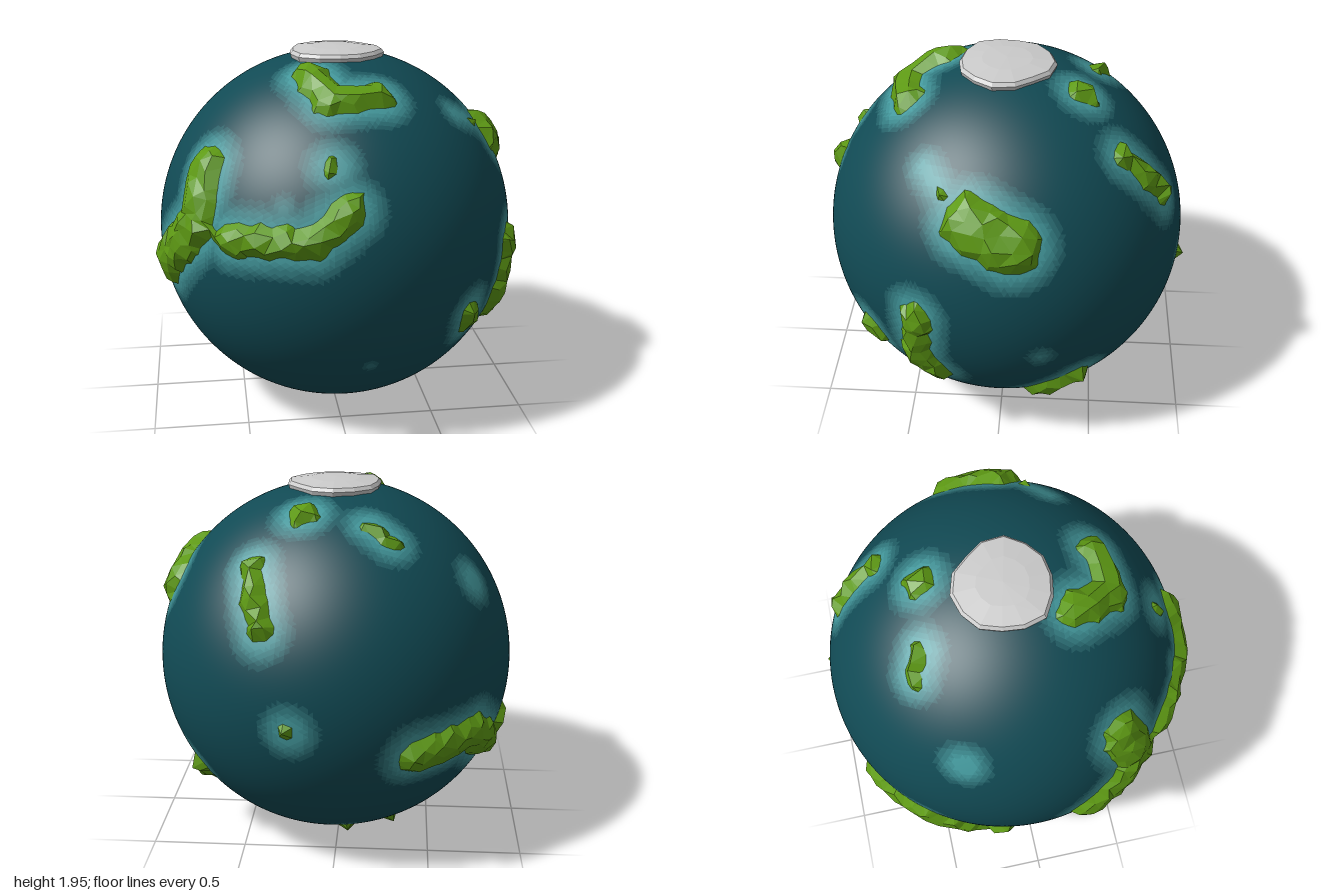
import * as THREE from 'three';

const R = 0.96;
const CENTRE = new THREE.Vector3(0.03, 0.97, 0);

// Facing directions [azimuth, elevation] in degrees used to place the coastlines
const FRONT = [0, 0], RIGHT = [90, 0], TOP = [0, 90], BACK_LEFT = [215, 28], UNDER = [145, -28];

// Point on the globe at (u, v) as seen from a facing direction
function onGlobe([az, el], u, v) {
  const w = Math.sqrt(Math.max(0, R * R - u * u - v * v));
  return new THREE.Vector3(u, v, w)
    .applyEuler(new THREE.Euler(THREE.MathUtils.degToRad(-el), THREE.MathUtils.degToRad(az), 0, 'YXZ'))
    .setLength(R);
}

// A strip of land along a path, kept as overlapping dots; a negative half width is a shoal
const dots = [];
function strip(facing, r, ...pts) {
  const ends = pts.map(([u, v]) => onGlobe(facing, u, v));
  ends.forEach((a, i) => {
    const b = ends[Math.min(i + 1, ends.length - 1)];
    for (let k = 0; k < 8; k++) dots.push({ p: a.clone().lerp(b, k / 8).setLength(R), r });
  });
}

// Northern triangle
strip(TOP, 0.09, [-0.17, -0.32], [-0.08, -0.53], [0.15, -0.5]);
// Large hooked continent and its offshore islet
strip(FRONT, 0.12, [-0.7, 0.46], [-0.76, 0.2], [-0.91, -0.08]);
strip(FRONT, 0.08, [-0.6, 0.18], [-0.22, 0.2], [-0.04, 0.35]);
strip(FRONT, 0.05, [-0.11, 0.54]);
strip(FRONT, -0.03, [-0.35, 0.35]);
// Lands on the right side
strip(RIGHT, 0.14, [-0.13, 0.52], [0.08, 0.43]);
strip(RIGHT, 0.01, [-0.36, 0.68], [-0.2, 0.56]);
strip(RIGHT, 0.08, [-0.4, 0], [-0.4, -0.33], [-0.32, -0.42]);
strip(RIGHT, 0.06, [-0.68, -0.28], [-0.63, -0.37]);
strip(RIGHT, 0.07, [0.42, -0.49], [0.2, -0.65]);
strip(RIGHT, 0.065, [0.6, 0.65], [0.82, 0.39]);
strip(RIGHT, -0.03, [0.23, -0.21]);
// Northern islands at the back
strip(TOP, 0.08, [0.14, 0.39]);
strip(TOP, 0.05, [-0.3, 0.5], [-0.2, 0.45]);
strip(TOP, 0.04, [-0.72, 0.35]);
// Southern continent and islets at the back
strip(BACK_LEFT, 0.1, [-0.1, -0.64], [0.27, -0.6], [0.47, -0.67]);
strip(BACK_LEFT, 0.05, [0.55, -0.62], [0.65, -0.55]);
strip(UNDER, 0.06, [0.32, -0.61]);
strip(UNDER, 0.05, [0.44, -0.7]);
strip(UNDER, 0.05, [0.4, 0.34]);
strip(FRONT, -0.07, [0.08, -0.5]);

// Signed distance inland (positive) or out to sea (negative)
function inland(p) {
  let best = -1;
  for (const d of dots) best = Math.max(best, d.r - d.p.distanceTo(p));
  return best;
}

// Repeatable noise, 0..1, tied to position
function noise(p, seed) {
  const q = Math.round(p.x * 1000) * 12.9898 + Math.round(p.y * 1000) * 78.233 + Math.round(p.z * 1000) * 37.719;
  const s = Math.sin(q + seed * 91.7) * 43758.5453;
  return s - Math.floor(s);
}

function geometryFrom(positions) {
  const g = new THREE.BufferGeometry();
  g.setAttribute('position', new THREE.Float32BufferAttribute(positions, 3));
  return g;
}

// Visit every triangle of a subdivided icosahedron
function eachFace(detail, visit) {
  const pos = new THREE.IcosahedronGeometry(R, detail).getAttribute('position');
  for (let i = 0; i < pos.count; i += 3) {
    visit([0, 1, 2].map(k => new THREE.Vector3().fromBufferAttribute(pos, i + k)));
  }
}

// Smooth sea split into depth bands, paler towards the shore
function createOcean() {
  const group = new THREE.Group();
  group.name = 'ocean';
  const BANDS = 7;
  const bands = Array.from({ length: BANDS }, () => []);
  eachFace(40, tri => {
    const mid = tri[0].clone().add(tri[1]).add(tri[2]).setLength(R);
    const t = THREE.MathUtils.clamp(1 + inland(mid) / 0.13, 0, 0.999);
    for (const v of tri) bands[Math.floor(t * BANDS)].push(v.x, v.y, v.z);
  });
  const deep = new THREE.Color(0x114a54), shallow = new THREE.Color(0x43989c);
  bands.forEach((positions, i) => {
    const g = geometryFrom(positions);
    g.setAttribute('normal', new THREE.Float32BufferAttribute(positions.map(c => c / R), 3));
    const color = deep.clone().lerp(shallow, i / (BANDS - 1));
    const mesh = new THREE.Mesh(g, new THREE.MeshStandardMaterial({ color }));
    mesh.name = i === 0 ? 'deepWater' : 'shallowWater' + i;
    group.add(mesh);
  });
  return group;
}

// Faceted land that rises out of the sea; its skirt sinks below the surface
function createLand() {
  const positions = [];
  eachFace(16, tri => {
    let dry = false;
    const corners = tri.map(v => {
      const p = v.clone();
      p.x += (noise(v, 1) - 0.5) * 0.04;
      p.y += (noise(v, 2) - 0.5) * 0.04;
      p.z += (noise(v, 3) - 0.5) * 0.04;
      p.setLength(R);
      const f = inland(p);
      if (f > 0) dry = true;
      const h = f > 0 ? 0.014 + Math.min(0.035, f * 0.5) + noise(v, 4) * 0.018 : -0.012 + Math.max(f, -0.06) * 0.5;
      return p.setLength(R + h);
    });
    if (dry) for (const c of corners) positions.push(c.x, c.y, c.z);
  });
  const g = geometryFrom(positions);
  g.computeVertexNormals();
  const mesh = new THREE.Mesh(g, new THREE.MeshStandardMaterial({ color: 0x5e9a14, flatShading: true }));
  mesh.name = 'land';
  return mesh;
}

// Thin, slightly domed polar sheet with an uneven rim
function createIceCap() {
  const profile = [[0.235, 0.905], [0.25, 0.95], [0.235, 0.968], [0.13, 0.982], [0, 0.987]];
  const g = new THREE.LatheGeometry(profile.map(([r, y]) => new THREE.Vector2(r, y)), 14);
  const pos = g.getAttribute('position');
  for (let i = 0; i < pos.count; i++) {
    const a = Math.atan2(pos.getZ(i), pos.getX(i));
    const s = 1 + 0.04 * Math.sin(3 * a + 0.6) + 0.03 * Math.cos(5 * a);
    pos.setX(i, pos.getX(i) * s);
    pos.setZ(i, pos.getZ(i) * s);
  }
  const mesh = new THREE.Mesh(g, new THREE.MeshStandardMaterial({ color: 0xcccccc, flatShading: true, side: THREE.DoubleSide }));
  mesh.name = 'iceCap';
  return mesh;
}

export function createModel() {
  const model = new THREE.Group();
  model.name = 'planet';
  const globe = new THREE.Group();
  globe.name = 'globe';
  globe.position.copy(CENTRE);
  globe.add(createOcean(), createLand(), createIceCap());
  model.add(globe);
  return model;
}
